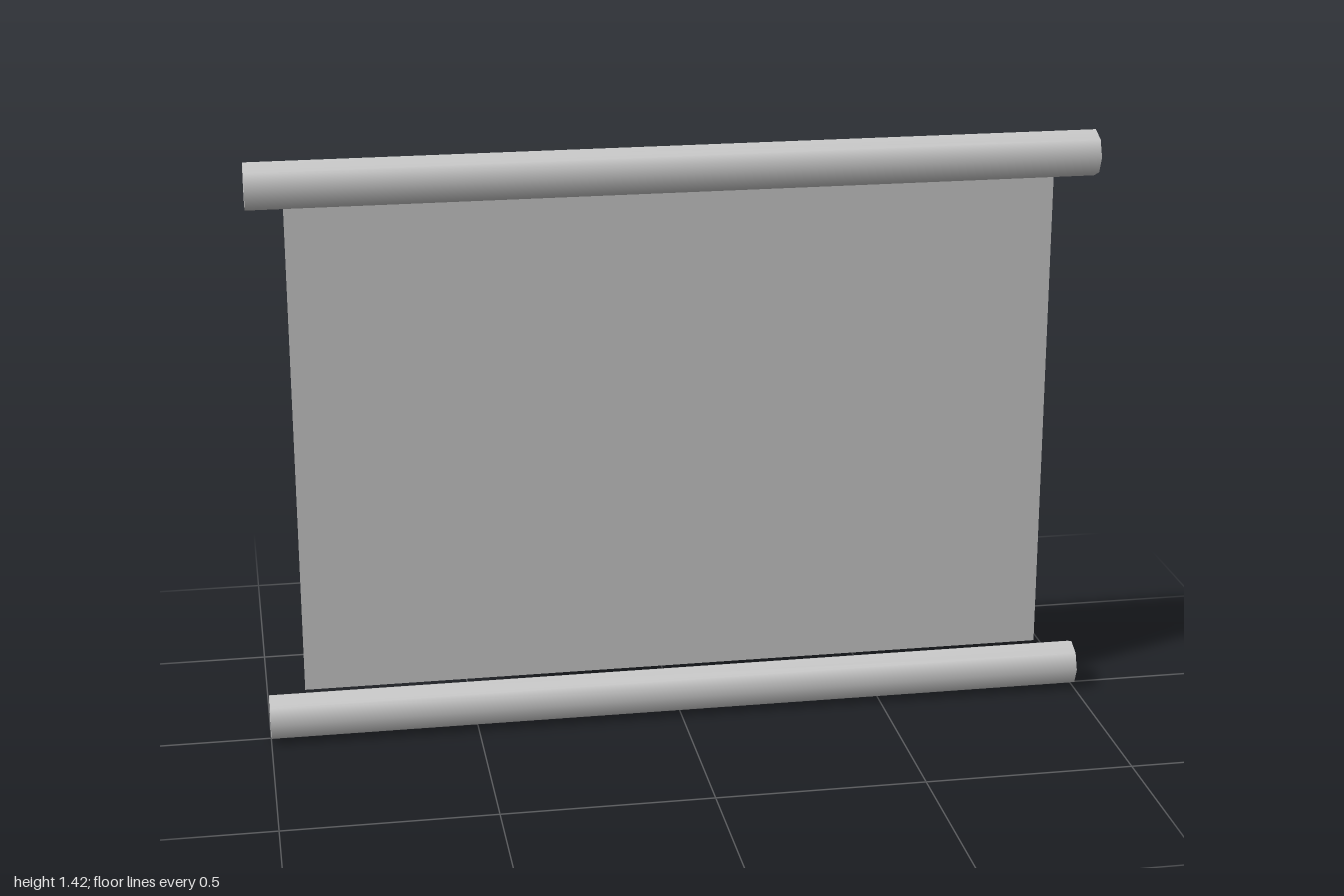
import * as THREE from 'three';

export function createModel() {
  const model = new THREE.Group();
  model.name = 'hangingScroll';

  const grey = new THREE.MeshStandardMaterial({ color: 0xcccccc, side: THREE.DoubleSide });
  grey.name = 'light grey';

  const radius = 0.056;
  const height = 1.424;

  // Two eight-sided, smooth-shaded rods lying along x
  const rodGeometry = new THREE.CylinderGeometry(radius, radius, 2, 8);
  rodGeometry.rotateZ(Math.PI / 2);
  for (const [name, y] of [['bottomRod', radius], ['topRod', height - radius]]) {
    const rod = new THREE.Mesh(rodGeometry, grey);
    rod.name = name;
    rod.position.y = y;
    model.add(rod);
  }

  // Flat sheet stretched between the rods, set towards the back
  const sheet = new THREE.Mesh(new THREE.PlaneGeometry(1.825, 1.214), grey);
  sheet.name = 'sheet';
  sheet.position.set(0, height / 2, -0.036);
  model.add(sheet);

  return model;
}
